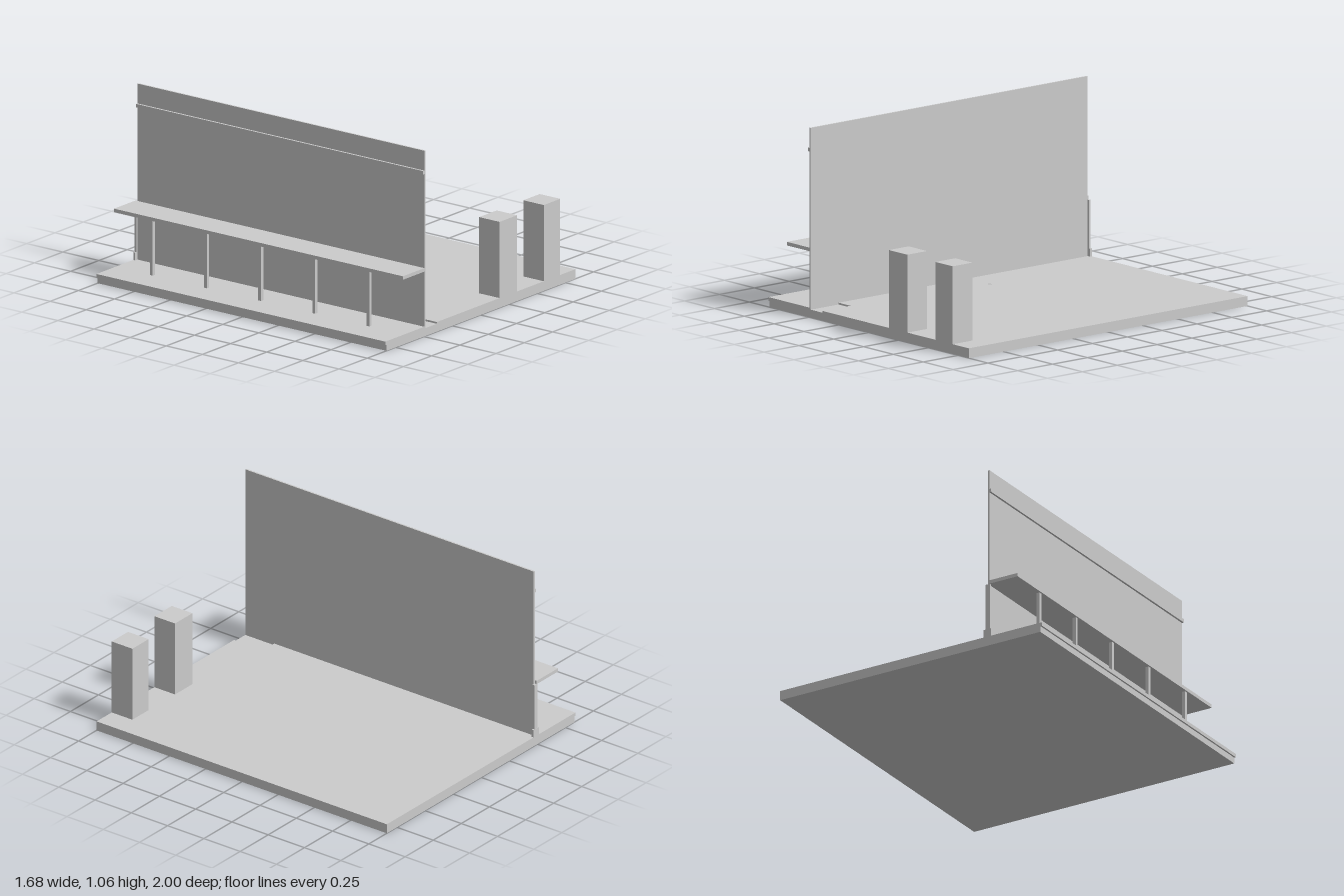
import * as THREE from 'three';

const TOP = 0.055;    // floor level
const RECESS = 0.045; // bottom of the shallow floor recesses

export function createModel() {
  const model = new THREE.Group();
  model.name = 'wallAndForecourt';
  const material = new THREE.MeshStandardMaterial({ color: 0xcccccc, flatShading: true });

  // Box given by its extents on each axis
  function box(name, [x0, x1], [y0, y1], [z0, z1]) {
    const mesh = new THREE.Mesh(new THREE.BoxGeometry(x1 - x0, y1 - y0, z1 - z0), material);
    mesh.position.set((x0 + x1) / 2, (y0 + y1) / 2, (z0 + z1) / 2);
    mesh.name = name;
    model.add(mesh);
    return mesh;
  }

  // Plan points are [x, z]; shape y is -z so the extrusion rises along +y
  const plan = (points) => points.map(([x, z]) => new THREE.Vector2(x, -z));
  const rect = (x0, x1, z0, z1) => [[x0, z0], [x1, z0], [x1, z1], [x0, z1]];

  // Base slab, with a small overhanging lip on the right side
  box('baseSlab', [-0.83, 0.84], [0, 0.035], [-1, 1]);
  box('baseLip', [-0.84, 0.84], [0.035, RECESS], [-1, 1]);

  // Floor layer, notched at the front edge and pierced by shallow recesses
  const floor = new THREE.Shape(plan([
    [-0.84, -1], [0.84, -1], [0.84, 1], [-0.385, 1],
    [-0.385, 0.8], [-0.485, 0.8], [-0.485, 1], [-0.84, 1],
  ]));
  const recesses = [
    [[-0.405, -0.24], [-0.325, -0.24], [-0.325, -0.137], [0.16, -0.137], [0.16, 0.185], [-0.405, 0.185]],
    rect(0.705, 0.726, -0.07, 0.865),
    rect(0.325, 0.56, 0.855, 0.865),
  ];
  for (const points of recesses) floor.holes.push(new THREE.Path(plan(points)));
  const floorGeometry = new THREE.ExtrudeGeometry(floor, { depth: TOP - RECESS, bevelEnabled: false });
  floorGeometry.rotateX(-Math.PI / 2);
  floorGeometry.translate(0, RECESS, 0);
  const floorMesh = new THREE.Mesh(floorGeometry, material);
  floorMesh.name = 'floor';
  model.add(floorMesh);

  // Tall thin wall with a narrow ledge
  box('wall', [-0.495, -0.485], [RECESS, 1.06], [-0.987, 1]);
  box('wallLedge', [-0.507, -0.495], [0.927, 0.947], [-0.987, 1]);

  // Canopy carried by a row of posts
  box('canopy', [-0.685, -0.495], [0.37, 0.39], [-1, 1]);
  for (let i = -2; i <= 2; i++) {
    const z = i * 0.375;
    box('canopyPost', [-0.675, -0.655], [TOP, 0.37], [z - 0.01, z + 0.01]);
  }

  // Slim pilaster and its foot at the back end of the wall
  box('pilaster', [-0.505, -0.476], [TOP, 0.37], [-0.998, -0.987]);
  box('pilasterFoot', [-0.515, -0.466], [TOP, 0.1], [-1, -0.987]);

  // Pair of gate pillars at the front edge
  box('gatePillar', [0.17, 0.325], [TOP, 0.49], [0.858, 1]);
  box('gatePillar', [0.56, 0.705], [TOP, 0.49], [0.858, 1]);

  return model;
}
